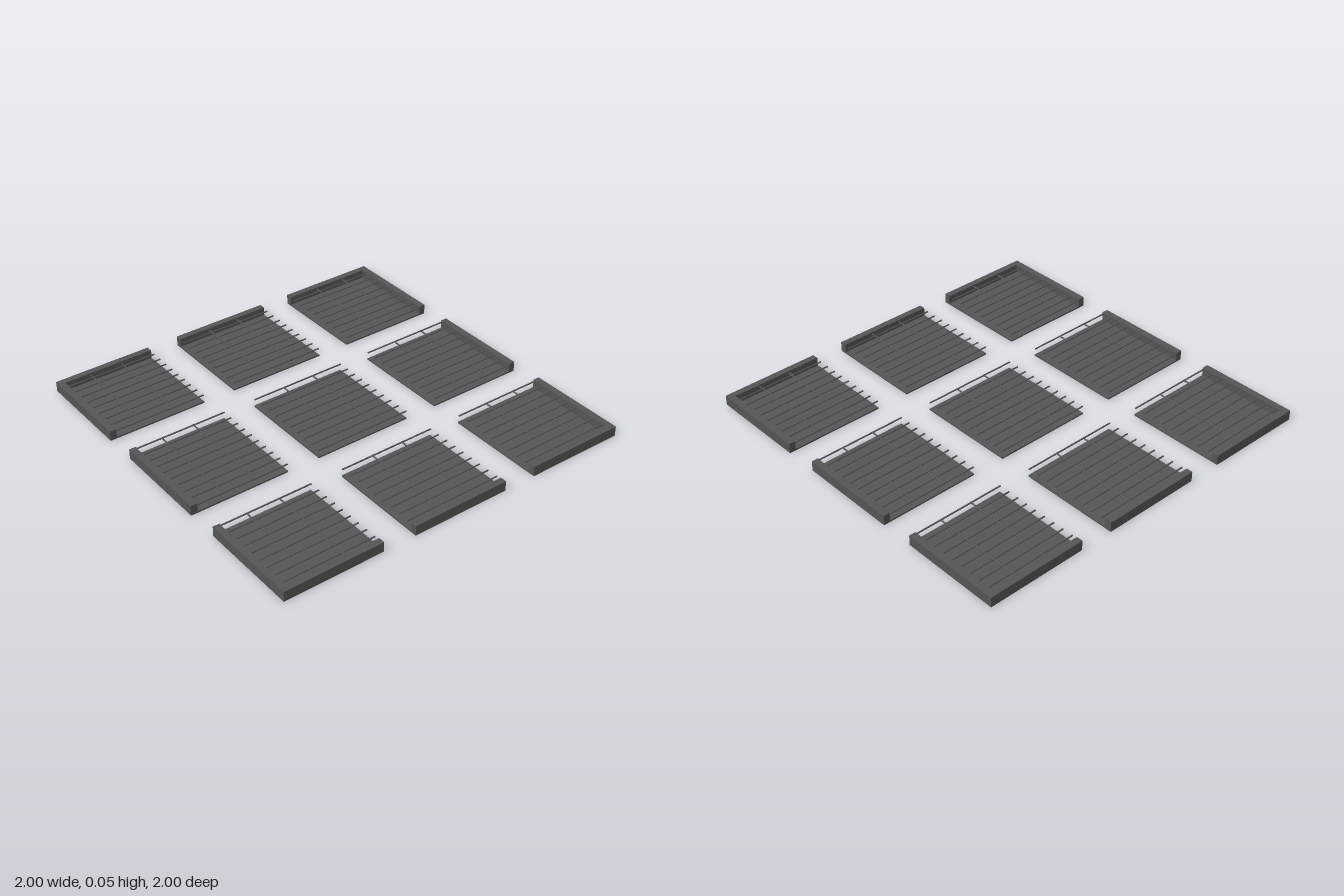
import * as THREE from 'three';

const TILE = 0.545;     // side of one tile
const PITCH = 0.7275;   // distance between tile centres
const HEIGHT = 0.055;   // height of the raised border
const FLOOR = 0.008;    // thickness of the base plate
const RIM = 0.035;      // width of the border
const ROD = 0.004;      // rod radius
const ROD_Y = 0.045;    // height of the rods above the ground

const material = new THREE.MeshStandardMaterial({ color: 0x555555 });

function addBox(parent, name, w, h, d, x, y, z) {
  const mesh = new THREE.Mesh(new THREE.BoxGeometry(w, h, d), material);
  mesh.name = name;
  mesh.position.set(x, y, z);
  parent.add(mesh);
}

function addRod(parent, name, axis, length, x, y, z) {
  const geometry = new THREE.CylinderGeometry(ROD, ROD, length, 8);
  if (axis === 'x') geometry.rotateZ(Math.PI / 2);
  else geometry.rotateX(Math.PI / 2);
  const mesh = new THREE.Mesh(geometry, material);
  mesh.name = name;
  mesh.position.set(x, y, z);
  parent.add(mesh);
}

// One grating tile; sx and sz say on which outer sides (-1, 0, 1) it has a border
function makeTile(sx, sz) {
  const tile = new THREE.Group();
  const half = TILE / 2;
  const rimY = (HEIGHT + FLOOR) / 2;
  const rimH = HEIGHT - FLOOR;

  addBox(tile, 'basePlate', TILE, FLOOR, TILE, 0, FLOOR / 2, 0);
  if (sx) addBox(tile, 'sideBorder', RIM, rimH, TILE, sx * (half - RIM / 2), rimY, 0);
  if (sz) {
    const trim = sx ? RIM : 0;
    addBox(tile, 'endBorder', TILE - trim, rimH, RIM, -sx * trim / 2, rimY, sz * (half - RIM / 2));
  }

  // Nine rows of cross rods, leaving out those inside a border
  for (let i = 0; i <= 9; i++) {
    const z = -half + ROD + (i / 9) * (TILE - 2 * ROD);
    if (sz && sz * z > half - RIM) continue;
    const cut = sx ? RIM : 0;
    addRod(tile, 'crossRod', 'x', TILE - cut, -sx * cut / 2, ROD_Y, z);
  }
  // Two long rods tie the cross rods together
  for (const side of [-1, 1]) {
    const cut = sz ? RIM : 0;
    addRod(tile, 'longRod', 'z', TILE - cut, side * TILE / 6, ROD_Y - 0.001, -sz * cut / 2);
  }
  return tile;
}

export function createModel() {
  const model = new THREE.Group();
  model.name = 'floorGratingSet';
  const columns = { '-1': 'Right', 0: 'Centre', 1: 'Left' };
  const rows = { '-1': 'back', 0: 'middle', 1: 'front' };
  for (const sx of [-1, 0, 1]) {
    for (const sz of [-1, 0, 1]) {
      const tile = makeTile(sx, sz);
      tile.name = `${rows[sz]}${columns[sx]}Tile`;
      tile.position.set(sx * PITCH, 0, sz * PITCH);
      model.add(tile);
    }
  }
  return model;
}
